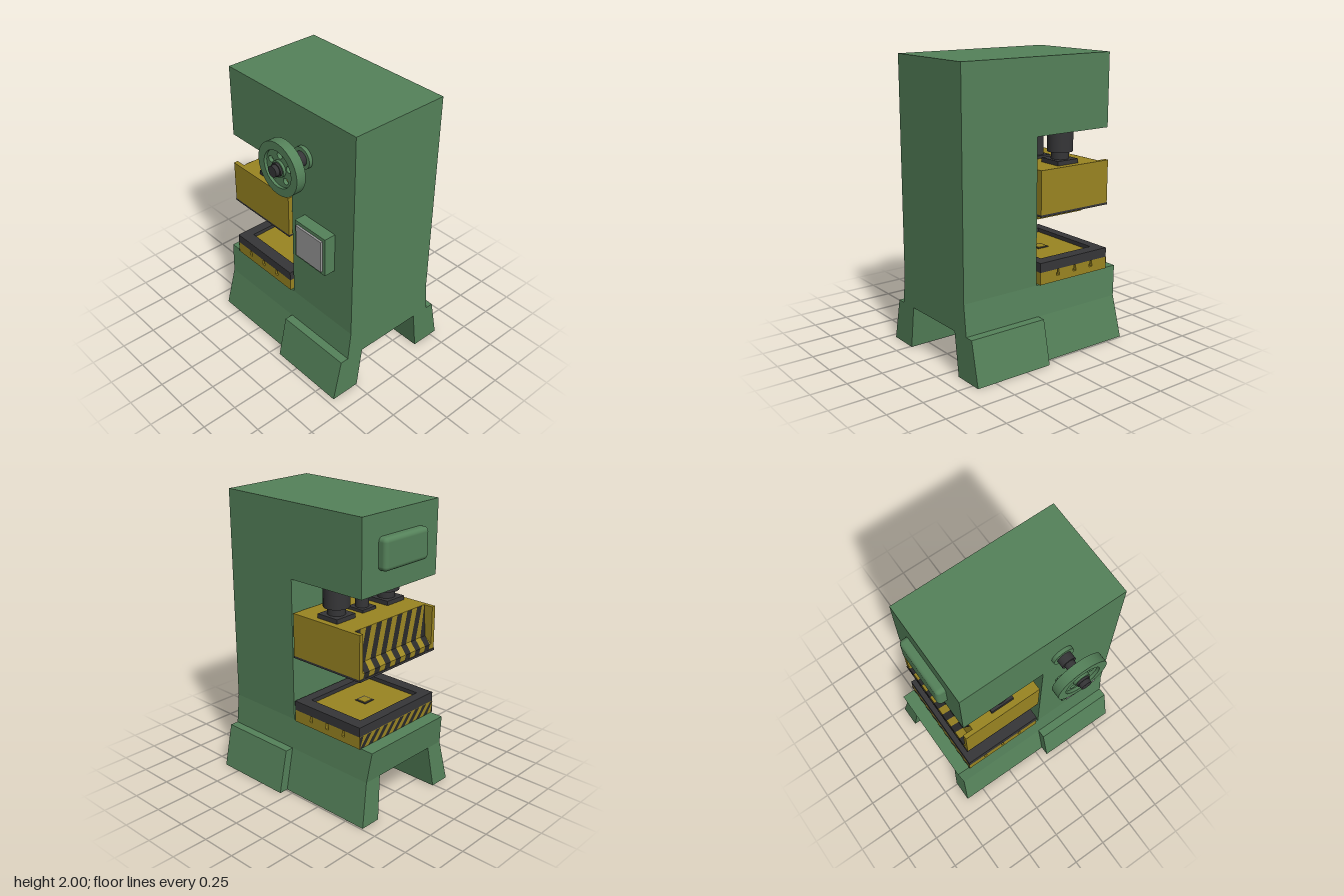
import * as THREE from 'three';
import { RoundedBoxGeometry } from 'three/addons/geometries/RoundedBoxGeometry.js';

const mat = (color) => new THREE.MeshStandardMaterial({ color });
const green = mat(0x55825a), yellow = mat(0x9a8522), dark = mat(0x363638), grey = mat(0x9a9a9a);
const stripeMat = mat(0x2a2a2a);
stripeMat.side = THREE.DoubleSide;
const ZC = -0.05; // middle of the press in z

function add(parent, name, geometry, material) {
  const mesh = new THREE.Mesh(geometry, material);
  mesh.name = name;
  parent.add(mesh);
  return mesh;
}

// Box given by its limits
function box(parent, name, material, x0, x1, y0, y1, z0, z1) {
  const g = new THREE.BoxGeometry(x1 - x0, y1 - y0, z1 - z0);
  g.translate((x0 + x1) / 2, (y0 + y1) / 2, (z0 + z1) / 2);
  return add(parent, name, g, material);
}

// Tapered block between two rectangles [x0, x1, z0, z1] at heights y0 and y1
function taper(parent, name, material, y0, low, y1, high) {
  const g = new THREE.BoxGeometry(1, 1, 1).toNonIndexed();
  const p = g.attributes.position;
  for (let i = 0; i < p.count; i++) {
    const up = p.getY(i) > 0, r = up ? high : low;
    p.setXYZ(i, r[p.getX(i) > 0 ? 1 : 0], up ? y1 : y0, r[p.getZ(i) > 0 ? 3 : 2]);
  }
  g.computeVertexNormals();
  return add(parent, name, g, material);
}

// Outline in x, y pushed from z0 to z1
function slab(parent, name, material, pts, z0, z1) {
  const shape = new THREE.Shape(pts.map(([x, y]) => new THREE.Vector2(x, y)));
  const g = new THREE.ExtrudeGeometry(shape, { depth: z1 - z0, bevelEnabled: false });
  return add(parent, name, g.translate(0, 0, z0), material);
}

function cylY(parent, name, material, r, x, y0, y1, z) {
  const g = new THREE.CylinderGeometry(r, r, y1 - y0, 32);
  return add(parent, name, g.translate(x, (y0 + y1) / 2, z), material);
}

function cylZ(parent, name, material, r, x, y, z0, z1) {
  const g = new THREE.CylinderGeometry(r, r, z1 - z0, 32).rotateX(Math.PI / 2);
  return add(parent, name, g.translate(x, y, (z0 + z1) / 2), material);
}

// Slanted dark stripes laid over an x, y profile
function stripes(parent, name, profile, z0, z1, pitch, slant) {
  const pos = [], idx = [];
  const clamp = (z) => Math.min(z1, Math.max(z0, z));
  for (let s = z0 - 0.4; s < z1 + 0.4; s += pitch) {
    const start = pos.length / 3;
    for (const [x, y] of profile) {
      const z = s + slant * (y - profile[0][1]);
      pos.push(x - 0.003, y, clamp(z), x - 0.003, y, clamp(z + pitch / 2));
    }
    for (let k = 0; k < profile.length - 1; k++) {
      const a = start + 2 * k;
      idx.push(a, a + 1, a + 3, a, a + 3, a + 2);
    }
  }
  const g = new THREE.BufferGeometry();
  g.setAttribute('position', new THREE.Float32BufferAttribute(pos, 3));
  g.setIndex(idx);
  const flat = g.toNonIndexed();
  flat.computeVertexNormals();
  add(parent, name, flat, stripeMat);
}

function buildFrame() {
  const f = new THREE.Group();
  f.name = 'frame';
  slab(f, 'columnAndHead', green,
    [[0.06, 0.51], [0.635, 0.51], [0.635, 2], [-0.54, 2], [-0.54, 1.5], [0.06, 1.5]], ZC - 0.3575, ZC + 0.3575);
  taper(f, 'base', green, 0.3, [-0.615, 0.635, ZC - 0.38, ZC + 0.38], 0.51, [-0.64, 0.635, ZC - 0.3575, ZC + 0.3575]);
  for (const s of [-1, 1]) {
    // z limits of a leg, mirrored about the middle
    const span = (a, b) => [ZC + s * a, ZC + s * b].sort((m, n) => m - n);
    taper(f, 'leg', green, 0, [-0.64, 0.635, ...span(0.29, 0.44)], 0.3, [-0.615, 0.635, ...span(0.25, 0.38)]);
    taper(f, 'foot', green, 0, [0.06, 0.635, ...span(0.4, 0.505)], 0.3, [0.06, 0.635, ...span(0.34, 0.44)]);
  }
  const cover = new RoundedBoxGeometry(0.1, 0.21, 0.415, 3, 0.03);
  add(f, 'sideCover', cover.translate(-0.55, 1.75, -0.0525), green);
  return f;
}

function buildSlide() {
  const g = new THREE.Group();
  g.name = 'slide';
  const z0 = -0.42, z1 = 0.318, wall = 0.03;
  // Striped front is set back between two end plates
  const face = [[-0.54, 0.985], [-0.54, 1.02], [-0.485, 1.065], [-0.47, 1.28]];
  slab(g, 'slideBody', yellow, [[0.035, 0.985], [0.035, 1.28], ...face.slice().reverse()], z0 + wall, z1 - wall);
  for (const z of [z0, z1 - wall]) box(g, 'endPlate', yellow, -0.54, 0.035, 0.985, 1.28, z, z + wall);
  stripes(g, 'slideStripes', face, z0 + wall, z1 - wall, 0.1, 0.35);
  box(g, 'bottomPlate', dark, -0.545, 0.035, 0.97, 0.985, z0, z1);
  slab(g, 'upperDie', yellow, [[-0.48, 0.97], [-0.46, 0.953], [-0.38, 0.932], [-0.01, 0.932], [-0.01, 0.97]], ZC - 0.28, ZC + 0.28);
  cylY(g, 'punch', yellow, 0.08, -0.225, 0.92, 0.932, ZC);
  // Two screws carry the slide, with a guide between them
  for (const z of [ZC - 0.24, ZC + 0.24]) {
    cylY(g, 'screwSleeve', dark, 0.087, -0.225, 1.36, 1.51, z);
    cylY(g, 'screw', dark, 0.06, -0.225, 1.3, 1.37, z);
    box(g, 'screwFlange', dark, -0.31, -0.14, 1.28, 1.31, z - 0.085, z + 0.085);
  }
  cylY(g, 'guideCollar', green, 0.1, -0.23, 1.44, 1.51, ZC);
  cylY(g, 'guideRod', dark, 0.045, -0.225, 1.28, 1.45, ZC);
  box(g, 'guideFlange', dark, -0.29, -0.16, 1.28, 1.3, ZC - 0.065, ZC + 0.065);
  return g;
}

function buildBed() {
  const g = new THREE.Group();
  g.name = 'bed';
  const z0 = -0.42, z1 = 0.318;
  // Lower plate with three T-shaped slots
  const pts = [[-0.545, 0.51], [0.035, 0.51], [0.035, 0.595]];
  for (const x of [-0.115, -0.26, -0.405]) {
    pts.push([x + 0.007, 0.595], [x + 0.007, 0.57], [x + 0.012, 0.57], [x + 0.012, 0.55],
      [x - 0.012, 0.55], [x - 0.012, 0.57], [x - 0.007, 0.57], [x - 0.007, 0.595]);
  }
  pts.push([-0.545, 0.595]);
  slab(g, 'bedPlate', yellow, pts, z0, z1);
  stripes(g, 'bedStripes', [[-0.545, 0.512], [-0.545, 0.594]], z0, z1, 0.08, 0.9);
  // Dark frame around a sunken pad
  const rect = (T, a, b, c, d) => new T([[a, c], [b, c], [b, d], [a, d]].map(([x, y]) => new THREE.Vector2(x, y)));
  const shape = rect(THREE.Shape, -0.545, 0.035, -z1, -z0);
  shape.holes.push(rect(THREE.Path, -0.475, -0.035, -ZC - 0.285, -ZC + 0.285));
  const frame = new THREE.ExtrudeGeometry(shape, { depth: 0.065, bevelEnabled: false }).rotateX(-Math.PI / 2);
  add(g, 'dieFrame', frame.translate(0, 0.595, 0), dark);
  box(g, 'lowerDie', yellow, -0.475, -0.035, 0.59, 0.632, ZC - 0.285, ZC + 0.285);
  box(g, 'dieSeat', dark, -0.3, -0.21, 0.63, 0.636, ZC - 0.045, ZC + 0.045);
  box(g, 'dieInsert', yellow, -0.288, -0.222, 0.63, 0.639, ZC - 0.033, ZC + 0.033);
  return g;
}

function buildHandwheel() {
  const g = new THREE.Group();
  g.name = 'handwheel';
  const x = 0.19, y = 1.665;
  cylZ(g, 'wheelMount', green, 0.075, x, y, 0.3, 0.333);
  cylZ(g, 'bearing', dark, 0.05, x, y, 0.333, 0.385);
  cylZ(g, 'shaft', dark, 0.035, x, y, 0.385, 0.53);
  cylZ(g, 'hub', green, 0.055, x, y, 0.46, 0.518);
  cylZ(g, 'washer', dark, 0.045, x, y, 0.518, 0.532);
  cylZ(g, 'shaftEnd', dark, 0.037, x, y, 0.532, 0.56);
  // Ring: outer rim, or thin web with round holes
  const ring = (name, outer, inner, zBack, zFront, holes) => {
    const s = new THREE.Shape().absarc(0, 0, outer, 0, Math.PI * 2);
    s.holes.push(new THREE.Path().absarc(0, 0, inner, 0, Math.PI * 2, true));
    for (let i = 0; i < holes; i++) {
      const a = Math.PI / 2 + i * Math.PI * 2 / holes;
      s.holes.push(new THREE.Path().absarc(0.087 * Math.cos(a), 0.087 * Math.sin(a), 0.022, 0, Math.PI * 2, true));
    }
    const geo = new THREE.ExtrudeGeometry(s, { depth: zFront - zBack, bevelEnabled: false, curveSegments: 40 });
    add(g, name, geo.translate(x, y, zBack), green);
  };
  ring('wheelRim', 0.18, 0.125, 0.453, 0.52, 0);
  ring('wheelWeb', 0.127, 0.03, 0.475, 0.5, 5);
  return g;
}

function buildControlBox() {
  const g = new THREE.Group();
  g.name = 'controlBox';
  box(g, 'housing', green, 0.185, 0.47, 0.945, 1.23, 0.3, 0.39);
  box(g, 'sideStrip', green, 0.175, 0.19, 1.03, 1.21, 0.3, 0.37);
  box(g, 'screen', grey, 0.21, 0.447, 0.97, 1.205, 0.385, 0.405);
  return g;
}

export function createModel() {
  const model = new THREE.Group();
  model.name = 'press';
  model.add(buildFrame(), buildSlide(), buildBed(), buildHandwheel(), buildControlBox());
  return model;
}
